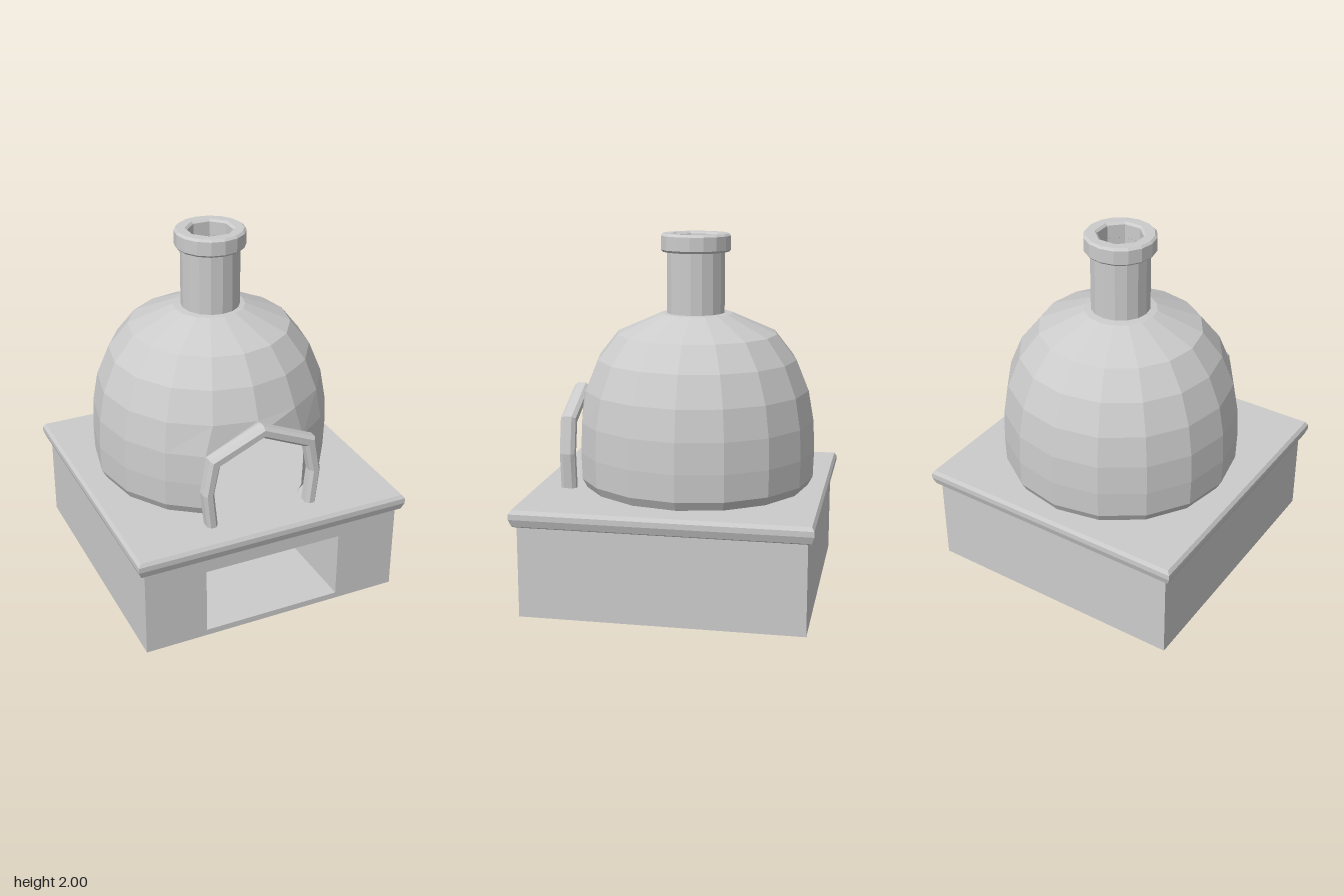
import * as THREE from 'three';

const mat = new THREE.MeshStandardMaterial({ color: 0xcccccc, flatShading: true });
const shellMat = new THREE.MeshStandardMaterial({ color: 0xcccccc, flatShading: true, side: THREE.DoubleSide });

function add(group, name, geometry, material = mat) {
  const mesh = new THREE.Mesh(geometry, material);
  mesh.name = name;
  group.add(mesh);
  return mesh;
}

const polygon = (n, r, turn = 0) => Array.from({ length: n }, (_, i) => {
  const a = (i / n) * Math.PI * 2 + turn;
  return new THREE.Vector2(Math.cos(a) * r, Math.sin(a) * r);
});

const rectangle = (x0, y0, x1, y1) => [
  new THREE.Vector2(x0, y0), new THREE.Vector2(x1, y0),
  new THREE.Vector2(x1, y1), new THREE.Vector2(x0, y1)];

function meshFrom(positions, index) {
  const g = new THREE.BufferGeometry();
  g.setAttribute('position', new THREE.Float32BufferAttribute(positions, 3));
  g.setIndex(index);
  g.computeVertexNormals();
  return g;
}

// Upright block with a deep wood store that narrows towards the back
function baseGeometry() {
  const shape = new THREE.Shape(rectangle(-0.75, 0, 0.75, 0.5));
  shape.holes.push(new THREE.Path(rectangle(-0.4, 0.035, 0.395, 0.42)));
  const g = new THREE.ExtrudeGeometry(shape, { depth: 1.47, bevelEnabled: false });
  g.translate(0, 0, -0.7);
  const p = g.attributes.position;
  for (let i = 0; i < p.count; i++) {
    if (p.getZ(i) < 0 && Math.abs(p.getX(i)) < 0.5) {
      p.setX(i, p.getX(i) * 0.945);
      p.setY(i, 0.04 + (p.getY(i) - 0.035) * 0.94);
    }
  }
  g.computeVertexNormals();
  return g;
}

// Worktop lofted from rectangles: [half width, y, half depth]
function slabGeometry() {
  const rings = [[0.755, 0.5, 0.775], [0.775, 0.51, 0.79], [0.79, 0.55, 0.803],
    [0.79, 0.58, 0.803], [0.775, 0.6, 0.79]];
  const pos = [], idx = [];
  for (const [w, y, d] of rings) pos.push(-w, y, d, w, y, d, w, y, -d, -w, y, -d);
  for (let r = 0; r < rings.length - 1; r++) {
    for (let i = 0; i < 4; i++) {
      const a = r * 4 + i, b = r * 4 + (i + 1) % 4;
      idx.push(a, b, b + 4, a, b + 4, a + 4);
    }
  }
  const t = (rings.length - 1) * 4;
  idx.push(t, t + 1, t + 2, t, t + 2, t + 3, 0, 2, 1, 0, 3, 2);
  return meshFrom(pos, idx);
}

// Sixteen-sided dome shell with a doorway left open in the two front columns
function domeGeometry() {
  const profile = [[0.635, 0.6], [0.662, 0.65], [0.667, 0.8], [0.66, 0.97], [0.63, 1.14],
    [0.56, 1.31], [0.45, 1.45], [0.2, 1.56], [0.15, 1.565]];
  const n = 16, doorRow = 3, pos = [], idx = [];
  profile.forEach(([r, y], row) => {
    for (let i = 0; i < n; i++) {
      let a = (i / n) * Math.PI * 2, h = y;
      // doorway jambs spread a little, its crown rises to a point
      if (row <= doorRow && i === 1) a += 0.06;
      if (row <= doorRow && i === n - 1) a -= 0.06;
      if (row === doorRow && i === 0) h = 1.08;
      pos.push(Math.sin(a) * r, h, Math.cos(a) * r);
    }
  });
  for (let row = 0; row < profile.length - 1; row++) {
    for (let i = 0; i < n; i++) {
      if (row < doorRow && (i === 0 || i === n - 1)) continue;
      const a = row * n + i, b = row * n + (i + 1) % n;
      idx.push(a, b, b + n, a, b + n, a + n);
    }
  }
  return meshFrom(pos, idx);
}

// Bevelled arch round the doorway, mirrored from one half
function archGeometry() {
  const outer = [[0.31, 0.6], [0.33, 0.8], [0.295, 0.995], [0, 1.123]];
  const inner = [[0, 1.088], [0.265, 0.97], [0.3, 0.8], [0.28, 0.6]];
  const flip = (pts) => pts.slice().reverse().map(([x, y]) => [-x, y]);
  const pts = [...outer, ...flip(outer).slice(1), ...flip(inner), ...inner.slice(1)];
  // order: right foot, over the crown, left foot, back along the inside
  const shape = new THREE.Shape(pts.map(([x, y]) => new THREE.Vector2(x, y)));
  const g = new THREE.ExtrudeGeometry(shape, {
    depth: 0.045, bevelEnabled: true, bevelSize: 0.016, bevelThickness: 0.02, bevelSegments: 1 });
  const p = g.attributes.position;
  for (let i = 0; i < p.count; i++) p.setY(i, Math.max(p.getY(i), 0.6));
  g.translate(-0.01, 0, 0.588);
  return g;
}

// Upright ring, round outside and octagonal inside
function flueGeometry(radius, hole, y, height, bevel) {
  const shape = new THREE.Shape(polygon(16, radius - bevel));
  shape.holes.push(new THREE.Path(polygon(8, hole + bevel, Math.PI / 8)));
  const g = new THREE.ExtrudeGeometry(shape, {
    depth: height - 2 * bevel, bevelEnabled: bevel > 0,
    bevelSize: bevel, bevelThickness: bevel, bevelSegments: 1 });
  g.rotateX(-Math.PI / 2);
  g.translate(0, y + bevel, 0);
  return g;
}

export function createModel() {
  const model = new THREE.Group();
  model.name = 'outdoorOven';

  const base = new THREE.Group();
  base.name = 'base';
  add(base, 'woodStoreBlock', baseGeometry());
  add(base, 'backWall', new THREE.BoxGeometry(1.5, 0.5, 0.07)).position.set(0, 0.25, -0.735);
  add(base, 'worktop', slabGeometry());
  model.add(base);

  add(model, 'dome', domeGeometry(), shellMat).position.set(-0.01, 0, -0.06);
  add(model, 'doorArch', archGeometry());

  const chimney = new THREE.Group();
  chimney.name = 'chimney';
  chimney.position.set(-0.005, 0, -0.053);
  add(chimney, 'chimneyPipe', flueGeometry(0.163, 0.125, 1.54, 0.38, 0));
  add(chimney, 'chimneyRim', flueGeometry(0.195, 0.125, 1.9, 0.1, 0.012));
  model.add(chimney);

  return model;
}
